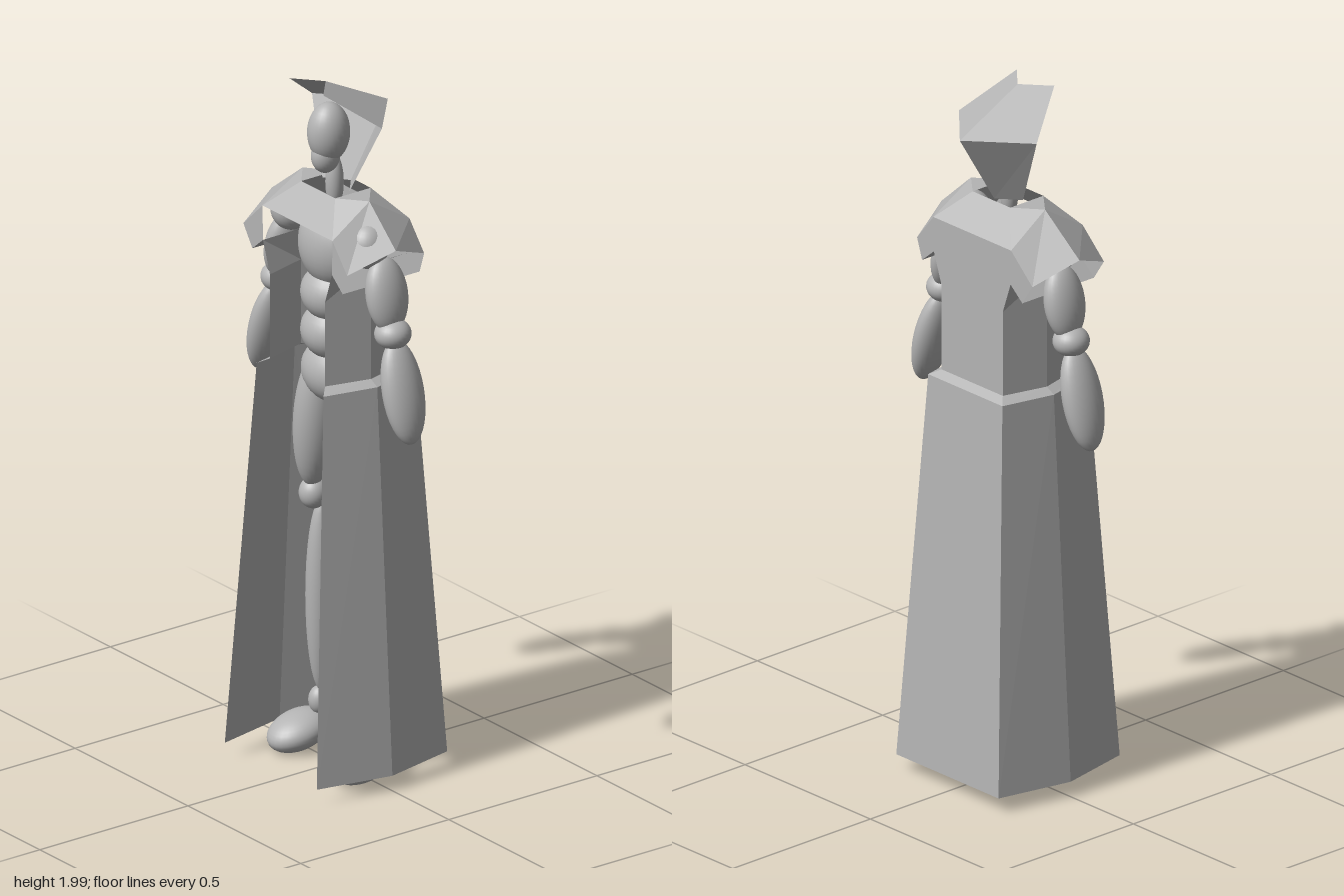
import * as THREE from 'three';

const cloth = new THREE.MeshStandardMaterial({ color: 0xb4b4b4, flatShading: true, side: THREE.DoubleSide });
cloth.name = 'grey cloth';
const skin = new THREE.MeshStandardMaterial({ color: 0xb4b4b4 });
skin.name = 'grey body';

// Flat polygons, each turned to face away from an inner point
function panels(name, faces, inner) {
  const pos = [];
  for (const face of faces) {
    const p = face.map((a) => new THREE.Vector3(...a));
    const c = p.reduce((m, v) => m.add(v), new THREE.Vector3()).divideScalar(p.length);
    const ref = inner ? new THREE.Vector3(...inner) : new THREE.Vector3(0, c.y - 0.05, 0);
    const n = new THREE.Vector3();
    p.forEach((v, i) => n.add(v.clone().sub(c).cross(p[(i + 1) % p.length].clone().sub(c))));
    if (n.dot(c.sub(ref)) < 0) p.reverse();
    for (let i = 1; i < p.length - 1; i++) {
      for (const v of [p[0], p[i], p[i + 1]]) pos.push(v.x, v.y, v.z);
    }
  }
  const g = new THREE.BufferGeometry();
  g.setAttribute('position', new THREE.Float32BufferAttribute(pos, 3));
  g.computeVertexNormals();
  const m = new THREE.Mesh(g, cloth);
  m.name = name;
  return m;
}

// Ellipsoid with its own centre, radii and tilt about x and z
function blob(name, c, r, tiltX = 0, tiltZ = 0) {
  const m = new THREE.Mesh(new THREE.SphereGeometry(1, 28, 18), skin);
  m.name = name;
  m.position.set(...c);
  m.scale.set(...r);
  m.rotation.set(tiltX, 0, tiltZ);
  return m;
}

export function createModel() {
  const model = new THREE.Group();
  model.name = 'cloakedFigure';

  // Cloak: open along -x; rings are [y, half depth, corner z, middle z]
  const rings = [
    [0.05, 0.22, 0.204, 0.25],
    [1.16, 0.155, 0.148, 0.183],
    [1.175, 0.13, 0.122, 0.155],
    [1.42, 0.13, 0.122, 0.155],
    [1.51, 0.13, 0.153, 0.155],
  ];
  const parts = ['cloakSkirt', 'cloakWaist', 'cloakTorso', 'cloakArmpit'];
  parts.forEach((name, i) => {
    const [y0, x0, c0, m0] = rings[i];
    const [y1, x1, c1, m1] = rings[i + 1];
    const faces = [[[x0, y0, c0], [x0, y0, -c0], [x1, y1, -c1], [x1, y1, c1]]];
    for (const s of [1, -1]) {
      for (const f of [1, -1]) {
        faces.push([[f * x0, y0, s * c0], [0, y0, s * m0], [0, y1, s * m1], [f * x1, y1, s * c1]]);
      }
    }
    model.add(panels(name, faces));
  });

  // Upper back and shoulder yoke, closed all round the neck
  const yoke = [[[0.13, 1.51, 0.153], [0.13, 1.51, -0.153], [0.13, 1.61, -0.155], [0.13, 1.61, 0.155]]];
  for (const f of [1, -1]) {
    yoke.push([[f * 0.06, 1.69, 0.075], [f * 0.06, 1.69, -0.075], [f * 0.13, 1.61, -0.155], [f * 0.13, 1.61, 0.155]]);
    for (const s of [1, -1]) {
      yoke.push([[f * 0.06, 1.69, s * 0.075], [0, 1.69, s * 0.148], [f * 0.13, 1.61, s * 0.155]]);
      yoke.push([[f * 0.06, 1.69, s * 0.075], [0, 1.69, s * 0.148], [0, 1.69, s * 0.075]]);
    }
  }
  model.add(panels('cloakYoke', yoke));

  // Short open sleeves, the right one slightly longer
  for (const s of [1, -1]) {
    const d = s < 0 ? 0.02 : 0;
    const edge = (f) => [
      [f * 0.13, 1.61, s * 0.155],
      [f * 0.13, 1.53, s * (0.22 + d)],
      [f * 0.13, 1.47, s * 0.2],
      [f * 0.13, 1.51, s * 0.153],
    ];
    const a = edge(1), b = edge(-1);
    const top = [0, 1.69, s * 0.148], out = [0, 1.585, s * (0.265 + d)];
    const faces = [a, b, [top, a[0], a[1], out], [top, b[0], b[1], out], [a[2], a[3], b[3], b[2]]];
    model.add(panels(s > 0 ? 'sleeveA' : 'sleeveB', faces, [0, 1.55, s * 0.19]));
  }

  // Hood, open towards -x
  const hood = [];
  for (const s of [1, -1]) {
    const side = [0.037, 1.895, s * 0.155], back = [0.175, 1.895, 0];
    hood.push([[-0.1, 2, s * 0.075], side, back, [-0.035, 2, 0]]);
    hood.push([side, back, [0.05, 1.69, 0], [0.0, 1.69, s * 0.06]]);
  }
  model.add(panels('hood', hood));

  // Head, neck and trunk
  const body = new THREE.Group();
  body.name = 'body';
  body.add(
    blob('head', [-0.025, 1.85, 0], [0.06, 0.085, 0.055]),
    blob('jaw', [-0.035, 1.785, 0], [0.042, 0.05, 0.036]),
    blob('neck', [-0.005, 1.7, 0], [0.025, 0.08, 0.025]),
    blob('chest', [-0.01, 1.52, 0], [0.085, 0.12, 0.11]),
    blob('belly', [-0.01, 1.38, 0], [0.085, 0.08, 0.095]),
    blob('waist', [-0.01, 1.27, 0], [0.085, 0.08, 0.095]),
    blob('hips', [0, 1.15, 0], [0.085, 0.09, 0.11]),
  );

  // Arms and legs
  for (const s of [1, -1]) {
    body.add(
      blob('shoulder', [-0.02, 1.575, s * 0.17], [0.06, 0.065, 0.055]),
      blob('upperArm', [0, 1.445, s * 0.225], [0.064, 0.105, 0.042], -s * 0.22),
      blob('elbow', [0, 1.34, s * 0.252], [0.051, 0.042, 0.05]),
      blob('forearm', [0, 1.185, s * 0.297], [0.063, 0.146, 0.042], -s * 0.27),
      blob('thigh', [-0.005, 0.99, s * 0.08], [0.065, 0.21, 0.06], -s * 0.1),
      blob('knee', [0, 0.76, s * 0.1], [0.04, 0.045, 0.04]),
      blob('calf', [0.035, 0.45, s * 0.11], [0.045, 0.28, 0.042]),
      blob('ankle', [0.035, 0.14, s * 0.12], [0.03, 0.04, 0.03]),
      blob('foot', [-0.02, 0.06, s * 0.14], [0.095, 0.05, 0.072], 0, 0.25),
    );
  }
  model.add(body);
  return model;
}
